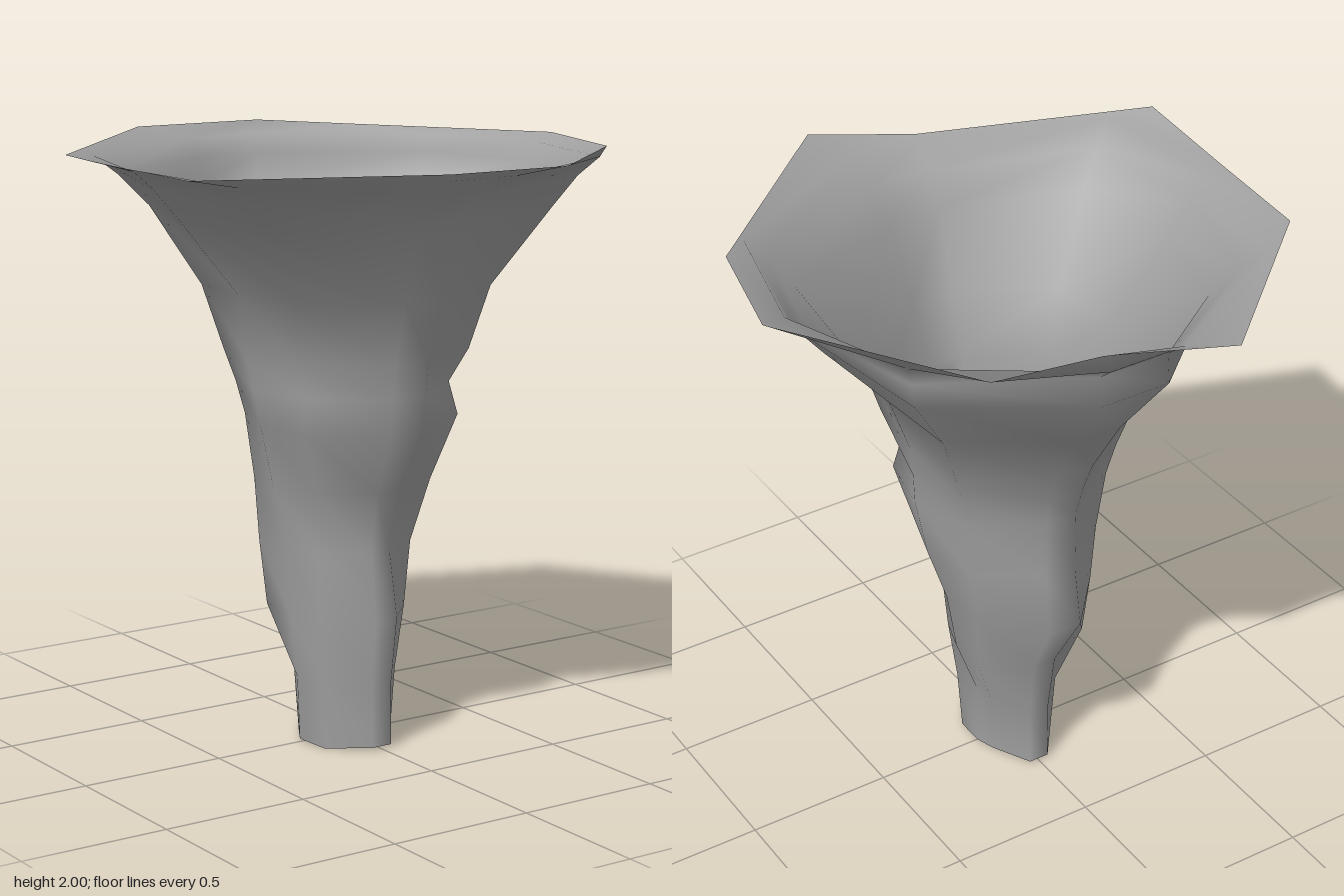
import * as THREE from 'three';

// Rim corners [x, y, z], running from +x towards +z
const RIM = [
  [0.885, 1.975, -0.04], [0.785, 1.97, 0.38], [0.2, 1.99, 0.905],
  [-0.12, 1.97, 0.75], [-0.89, 1.975, 0.48], [-0.855, 1.97, 0.05],
  [-0.82, 1.97, -0.38], [-0.24, 1.985, -0.91], [0.15, 2, -0.76],
  [0.48, 1.975, -0.67],
];
// Irregular rings: height, then reach towards
// left, front left, front, front right, right, back right, back, back left
const RINGS = [
  [0.01, 0.12, 0.155, 0.22, 0.19, 0.18, 0.155, 0.21, 0.13],
  [0.23, 0.12, 0.17, 0.22, 0.21, 0.19, 0.17, 0.21, 0.14],
  [0.45, 0.2, 0.2, 0.245, 0.235, 0.22, 0.26, 0.24, 0.245],
  [0.67, 0.235, 0.22, 0.21, 0.24, 0.23, 0.285, 0.36, 0.275],
  [0.88, 0.305, 0.285, 0.25, 0.25, 0.28, 0.3, 0.33, 0.31],
  [1.1, 0.35, 0.375, 0.36, 0.385, 0.33, 0.33, 0.33, 0.345],
  [1.21, 0.355, 0.345, 0.37, 0.345, 0.355, 0.36, 0.36, 0.37],
  [1.32, 0.365, 0.41, 0.38, 0.39, 0.38, 0.4, 0.4, 0.42],
  [1.53, 0.44, 0.48, 0.45, 0.45, 0.41, 0.47, 0.52, 0.52],
  [1.79, 0.67, 0.68, 0.56, 0.7, 0.63, 0.64, 0.72, 0.73],
  [1.89, 0.75, 0.76, 0.64, 0.82, 0.72, 0.74, 0.71, 0.76],
  [1.95, 0.79, 0.83, 0.75, 0.92, 0.79, 0.82, 0.78, 0.77],
];
const N = RIM.length;
// Direction of the diagonal corners, and half width of the short front and back edges
const DX = 0.81, DZ = 0.58, EDGE = 0.17;

function makeRing([y, left, frontLeft, front, frontRight, right, backRight, back, backLeft]) {
  return [
    [left, y, 0],
    [frontLeft * DX, y, frontLeft * DZ],
    [front * EDGE, y, front],
    [-front * EDGE, y, front],
    [-frontRight * DX, y, frontRight * DZ],
    [-right, y, 0],
    [-backRight * DX, y, -backRight * DZ],
    [-back * EDGE, y, -back],
    [back * EDGE, y, -back],
    [backLeft * DX, y, -backLeft * DZ],
  ];
}

export function createModel() {
  const rings = [...RINGS.map(makeRing), RIM];
  rings[0][0][1] = rings[0][4][1] = 0;

  // Open skin between neighbouring rings, its diagonals spiralling upwards
  const index = [];
  for (let j = 0; j < rings.length - 1; j++) {
    for (let k = 0; k < N; k++) {
      const a = j * N + k, b = j * N + (k + 1) % N;
      index.push(a, a + N, b + N, a, b + N, b);
    }
  }
  const geometry = new THREE.BufferGeometry();
  geometry.setAttribute('position', new THREE.Float32BufferAttribute(rings.flat(2), 3));
  geometry.setIndex(index);
  geometry.computeVertexNormals();

  const funnel = new THREE.Mesh(geometry, new THREE.MeshStandardMaterial({
    color: 0xa0a0a0, side: THREE.DoubleSide,
  }));
  funnel.name = 'twistedFunnel';
  const group = new THREE.Group();
  group.name = 'whirlwind';
  group.add(funnel);
  return group;
}
